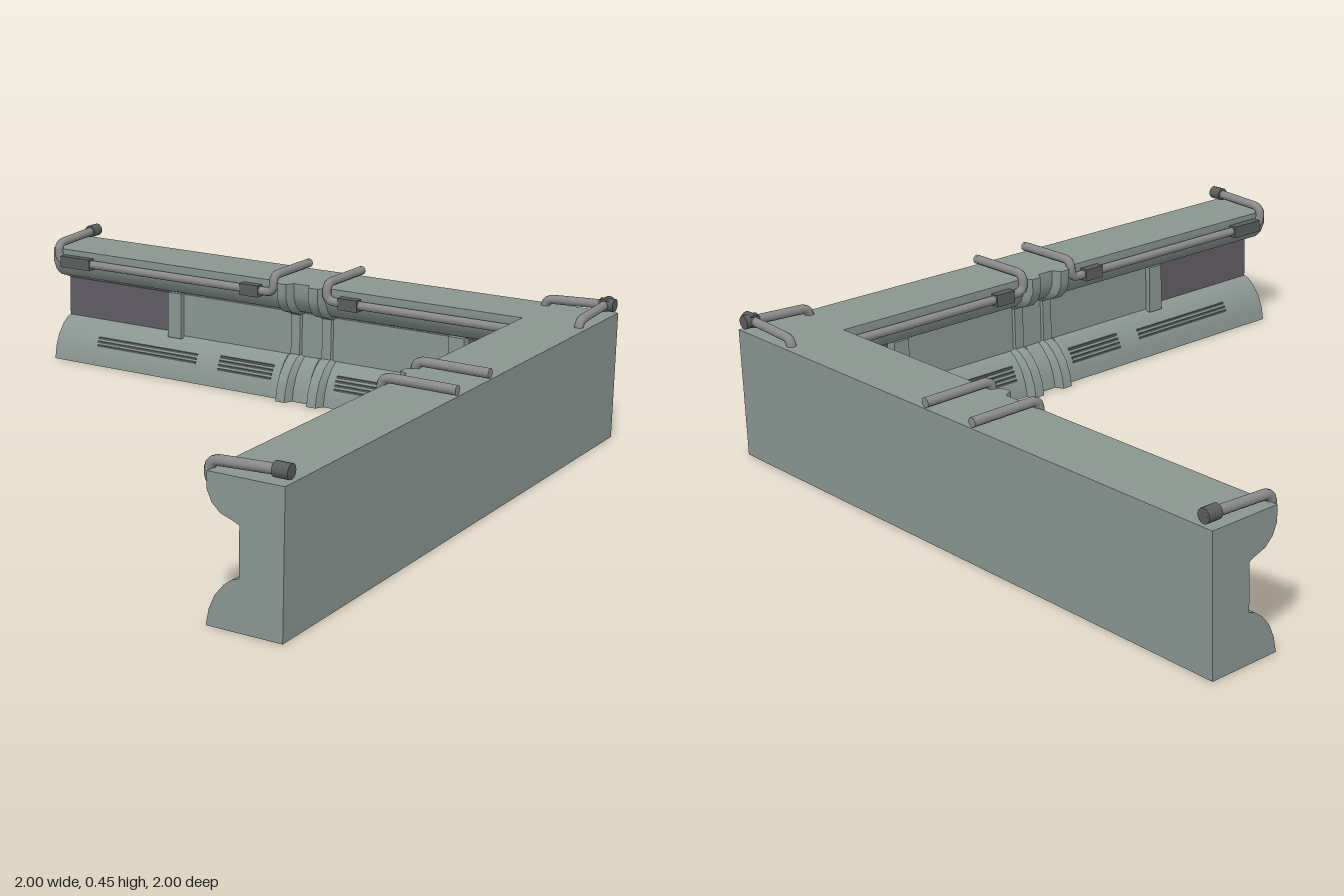
import * as THREE from 'three';
import { toCreasedNormals } from 'three/addons/utils/BufferGeometryUtils.js';

const mat = (color, side = THREE.FrontSide) => new THREE.MeshStandardMaterial({ color, side });
const wallMat = mat(0x8a9691, THREE.DoubleSide);
const panelMat = mat(0x625d65);
const pipeMat = mat(0x8a8a8a);
const clampMat = mat(0x5c5e5e);
const ventMat = mat(0x5a615e);

// Wall cross-section: [distance from the outer face, height], open underneath
const PROFILE = [
  [0, 0], [0, 0.4], [0.22, 0.4], [0.22, 0.355], [0.205, 0.322], [0.18, 0.299], [0.145, 0.287], [0.125, 0.278],
  [0.125, 0.142], [0.145, 0.135], [0.168, 0.118], [0.195, 0.085], [0.212, 0.045], [0.22, 0],
];

function add(parent, name, geometry, material) {
  const mesh = new THREE.Mesh(geometry, material);
  mesh.name = name;
  parent.add(mesh);
  return mesh;
}

// Skin matching cross-sections and close both ends
function loft(sections, profile) {
  const n = profile.length;
  const index = [];
  for (let i = 0; i < sections.length - 1; i++) {
    for (let j = 0; j < n - 1; j++) {
      const a = i * n + j, c = a + n;
      index.push(a, a + 1, c, c, a + 1, c + 1);
    }
  }
  const flat = profile.map(([d, y]) => new THREE.Vector2(d, y));
  const last = (sections.length - 1) * n;
  for (let [a, b, c] of THREE.ShapeUtils.triangulateShape(flat, [])) {
    if (THREE.ShapeUtils.area([flat[a], flat[b], flat[c]]) < 0) [b, c] = [c, b];
    index.push(a, b, c, last + a, last + c, last + b);
  }
  const g = new THREE.BufferGeometry();
  g.setAttribute('position', new THREE.Float32BufferAttribute(sections.flat(2), 3));
  g.setIndex(index);
  return toCreasedNormals(g, 0.55);
}

// Box given by ranges along the wall, in height and in depth from the outer face
function block(parent, name, [x0, x1], [y0, y1], [d0, d1], material) {
  const m = add(parent, name, new THREE.BoxGeometry(x1 - x0, y1 - y0, d1 - d0), material);
  m.position.set((x0 + x1) / 2, (y0 + y1) / 2, -1 + (d0 + d1) / 2);
  return m;
}

// Polyline with rounded corners
function roundedPath(points, r) {
  const path = new THREE.CurvePath();
  let from = points[0];
  for (let i = 1; i < points.length - 1; i++) {
    const p = points[i];
    const toward = (q) => p.clone().add(q.clone().sub(p).setLength(r));
    const a = toward(points[i - 1]), b = toward(points[i + 1]);
    path.add(new THREE.LineCurve3(from, a));
    path.add(new THREE.QuadraticBezierCurve3(a, p, b));
    from = b;
  }
  path.add(new THREE.LineCurve3(from, points[points.length - 1]));
  return path;
}

// Depth of the sloping foot at a given height
function footDepth(y) {
  for (let i = 9; i < PROFILE.length - 1; i++) {
    const [d0, y0] = PROFILE[i], [d1, y1] = PROFILE[i + 1];
    if (y <= y0 && y >= y1) return d0 + (d1 - d0) * (y0 - y) / (y0 - y1);
  }
  return 0.22;
}

function rib(parent, x0, x1) {
  const ribProfile = PROFILE.map(([d, y], i) => [i < 2 ? 0.1 : d, y]);
  const section = (x, out) => ribProfile.map(([d, y], i) => [x, y, -1 + d + (i < 2 ? 0 : out)]);
  const bevel = 0.014;
  add(parent, 'rib', loft([
    section(x0, 0), section(x0 + bevel, 0.028), section(x1 - bevel, 0.028), section(x1, 0),
  ], ribProfile), wallMat);
}

function halfFittings(arm, side) {
  const span = (a, b) => (side > 0 ? [a, b] : [-b, -a]);

  // Recessed panel and its post
  block(arm, 'darkPanel', span(0.555, side > 0 ? 0.875 : 0.998), [0.142, 0.278], [0.1, 0.127], panelMat);
  block(arm, 'post', span(0.505, 0.56), [0.13, 0.288], [0.1, 0.163], wallMat);

  // Vent slots on the foot
  const slots = (a, b, heights) => heights.forEach((y) => {
    const d = footDepth(y);
    block(arm, 'ventSlot', span(a, b), [y - 0.0035, y + 0.0035], [d - 0.008, d + 0.003], ventMat);
  });
  slots(0.42, 0.83, [0.068, 0.08, 0.092]);
  slots(0.12, 0.33, [0.06, 0.073, 0.086, 0.099]);

  rib(arm, ...span(0.028, 0.09));

  // Handrail pipe with clamps and end sleeve
  const P = (x, y, d) => new THREE.Vector3(side * x, y, -1 + d);
  const path = roundedPath([
    P(0.97, 0.43, 0), P(0.97, 0.42, 0.23), P(0.97, 0.362, 0.23),
    P(0.1, 0.362, 0.23), P(0.1, 0.42, 0.23), P(0.1, 0.418, 0),
  ], 0.028);
  add(arm, 'pipe', new THREE.TubeGeometry(path, 140, 0.0145, 10), pipeMat);
  const cylinder = (name, x, y, r, length, material) => {
    const m = add(arm, name, new THREE.CylinderGeometry(r, r, length, 12), material);
    m.rotation.x = Math.PI / 2;
    m.position.copy(P(x, y, length / 2));
  };
  cylinder('pipeSleeve', 0.97, 0.429, 0.021, 0.045, clampMat);
  cylinder('pipeEnd', 0.1, 0.418, 0.0145, 0.01, pipeMat);
  for (const [a, b] of [[0.83, 0.95], [0.15, 0.22]]) {
    block(arm, 'pipeClamp', span(a, b), [0.342, 0.381], [0.21, 0.248], clampMat);
  }
}

function createArm(name) {
  const arm = new THREE.Group();
  arm.name = name;
  block(arm, 'centrePlate', [-0.51, 0.51], [0.138, 0.284], [0.1, 0.145], wallMat);
  for (const side of [-1, 1]) halfFittings(arm, side);
  return arm;
}

export function createModel() {
  const model = new THREE.Group();
  model.name = 'cornerWall';

  // L-shaped wall, mitred at the corner
  add(model, 'wall', loft([
    PROFILE.map(([d, y]) => [-1, y, -1 + d]),
    PROFILE.map(([d, y]) => [1 - d, y, -1 + d]),
    PROFILE.map(([d, y]) => [1 - d, y, 1]),
  ], PROFILE), wallMat);

  // Fittings on both arms
  model.add(createArm('backArm'));
  const sideArm = createArm('sideArm');
  sideArm.rotation.y = -Math.PI / 2;
  // The corner end of this arm is its negative half, so swap the panel lengths
  const panels = sideArm.children.filter((c) => c.name === 'darkPanel');
  const [g0, x0] = [panels[0].geometry, panels[0].position.x];
  panels[0].geometry = panels[1].geometry;
  panels[0].position.x = -panels[1].position.x;
  panels[1].geometry = g0;
  panels[1].position.x = -x0;
  model.add(sideArm);
  return model;
}
